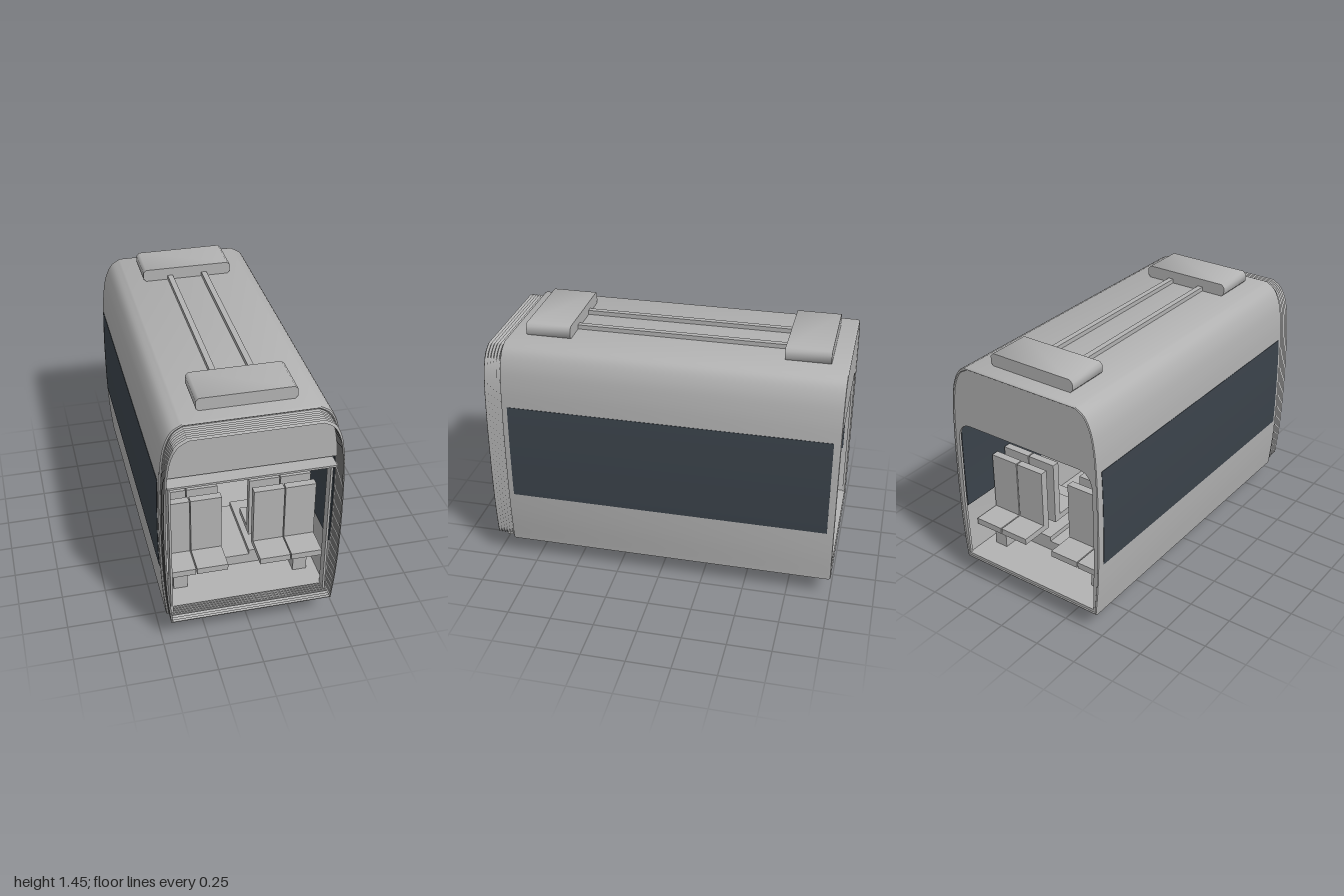
import * as THREE from 'three';
import { toCreasedNormals } from 'three/addons/utils/BufferGeometryUtils.js';

const grey = new THREE.MeshStandardMaterial({ color: 0xb2b2b2, side: THREE.DoubleSide });
grey.name = 'grey body';
const dark = new THREE.MeshStandardMaterial({ color: 0x3b434b, side: THREE.DoubleSide });
dark.name = 'dark glass';

// Right half of the cross-section, from sill to roof edge
const sideCurve = new THREE.CatmullRomCurve3([
  [0.462, 0.12], [0.479, 0.3], [0.488, 0.5], [0.49, 0.8], [0.484, 1.02],
  [0.474, 1.16], [0.452, 1.27], [0.415, 1.34], [0.36, 1.375],
].map(([x, y]) => new THREE.Vector3(x, y, 0)));
const side = sideCurve.getPoints(40);

// Closed cross-section scaled about the centre of the car
function section(kx = 1, ky = 1) {
  const pts = side.map((p) => new THREE.Vector2(p.x * kx, 0.7475 + (p.y - 0.7475) * ky));
  return pts.concat(pts.map((p) => new THREE.Vector2(-p.x, p.y)).reverse());
}

// Skin through cross-sections given as [x scale, y scale, z]
function loft(rings, crease) {
  const pos = [], idx = [], n = side.length * 2;
  rings.forEach(([kx, ky, z], i) => {
    for (const p of section(kx, ky)) pos.push(p.x, p.y, z);
    if (i === 0) return;
    for (let j = 0; j < n; j++) {
      const k = (j + 1) % n, a = (i - 1) * n, b = i * n;
      idx.push(a + j, b + k, a + k, a + j, b + j, b + k);
    }
  });
  const g = new THREE.BufferGeometry();
  g.setAttribute('position', new THREE.Float32BufferAttribute(pos, 3));
  g.setIndex(idx);
  return toCreasedNormals(g, crease);
}

function extrude(shape, z0, z1) {
  const g = new THREE.ExtrudeGeometry(shape, { depth: z1 - z0, bevelEnabled: false, curveSegments: 10 });
  g.translate(0, 0, z0);
  return toCreasedNormals(g, 1);
}

export function createModel() {
  const model = new THREE.Group();
  model.name = 'railCarSection';

  function add(name, geo, mat = grey, parent = model) {
    const m = new THREE.Mesh(geo, mat);
    m.name = name;
    parent.add(m);
  }
  // Box given by its limits
  function box(name, x0, x1, y0, y1, z0, z1, mat = grey, parent = model) {
    const g = new THREE.BoxGeometry(x1 - x0, y1 - y0, z1 - z0);
    g.translate((x0 + x1) / 2, (y0 + y1) / 2, (z0 + z1) / 2);
    add(name, g, mat, parent);
  }
  // Cylinder lying along x
  function roll(name, r, x0, x1, y, z, n = 24) {
    const g = new THREE.CylinderGeometry(r, r, x1 - x0, n);
    g.rotateZ(Math.PI / 2);
    g.rotateX(Math.PI / 2);
    g.translate((x0 + x1) / 2, y, z);
    add(name, toCreasedNormals(g, 1.1));
  }

  // Hollow body shell with softened ends, open front and back
  add('bodyShell', loft([
    [0.965, 0.972, -0.99], [0.965, 0.972, 0.89], [0.98, 0.985, 0.9], [0.994, 0.995, 0.897], [1, 1, 0.885],
    [1, 1, -0.985], [0.994, 0.995, -0.997], [0.98, 0.985, -1], [0.965, 0.972, -0.99],
  ], 0.9));

  // Rear wall with a round-cornered doorway
  const wall = new THREE.Shape(section(0.975, 0.98));
  const door = new THREE.Path();
  door.moveTo(-0.44, 0.15);
  door.lineTo(0.44, 0.15);
  door.lineTo(0.452, 0.5);
  door.lineTo(0.45, 0.92);
  door.quadraticCurveTo(0.44, 1.015, 0.36, 1.015);
  door.lineTo(-0.36, 1.015);
  door.quadraticCurveTo(-0.44, 1.015, -0.45, 0.92);
  door.lineTo(-0.452, 0.5);
  door.lineTo(-0.44, 0.15);
  wall.holes.push(door);
  add('rearWall', extrude(wall, -0.995, -0.98));

  // Front header above the ceiling
  const header = new THREE.Shape(section(0.97, 0.975).filter((p) => p.y > 1.015));
  add('frontHeader', extrude(header, 0.87, 0.888));

  // Window bands following the curve of each side, outside and inside
  const band = side.filter((p) => p.y > 0.46 && p.y < 1.01);
  const ys = [0.45, ...band.map((p) => p.y), 1.025];
  const xs = [0.486, ...band.map((p) => p.x), 0.4838];
  for (const s of [1, -1]) {
    for (const [name, a, b] of [['outerWindow', -0.002, 0.002], ['innerWindow', -0.022, -0.015]]) {
      const face = ys.map((y, i) => new THREE.Vector2(s * (xs[i] + b), y));
      const back = ys.map((y, i) => new THREE.Vector2(s * (xs[i] + a), y)).reverse();
      add(name, extrude(new THREE.Shape(face.concat(back)), -0.96, 0.865), dark);
    }
  }

  // Pleated gangway bellows
  const folds = 14;
  add('bellows', loft(Array.from({ length: folds + 1 }, (_, i) => {
    const k = i % 2 ? 0.982 : 0.962;
    return [k, k - 0.018, 0.88 + 0.12 * i / folds];
  }), 2));

  // Floor, ceiling and doorway posts
  box('floor', -0.45, 0.45, 0.132, 0.15, -0.98, 0.94);
  box('ceiling', -0.45, 0.45, 1.016, 1.028, -0.98, 0.95);
  for (const s of [1, -1]) box('doorPost', s * 0.434 - 0.006, s * 0.434 + 0.006, 0.15, 1.016, 0.86, 0.92);

  // Roof units and the pipes between them
  const unit = new THREE.Shape([
    [-0.267, 1.39], [-0.25, 1.372], [0.25, 1.372], [0.267, 1.39],
    [0.267, 1.43], [0.25, 1.447], [-0.25, 1.447], [-0.267, 1.43],
  ].map(([x, y]) => new THREE.Vector2(x, y)));
  add('frontRoofUnit', extrude(unit, 0.545, 0.8));
  add('rearRoofUnit', extrude(unit, -0.9, -0.65));
  for (const s of [1, -1]) box('roofPipe', s * 0.104 - 0.016, s * 0.104 + 0.016, 1.37, 1.4, -0.66, 0.56);

  // Back-to-back seat groups on pedestals
  for (const zc of [0.575, -0.675]) {
    for (const dir of [1, -1]) {
      const row = new THREE.Group();
      row.name = 'seatRow';
      row.position.z = zc;
      row.rotation.y = dir > 0 ? 0 : Math.PI;
      model.add(row);
      for (const x of [-0.362, -0.18, 0.18, 0.362]) {
        box('seatBack', x - 0.088, x + 0.088, 0.3, 0.685, 0.03, 0.075, grey, row);
        box('seatPan', x - 0.088, x + 0.088, 0.3, 0.337, 0.075, 0.235, grey, row);
      }
      for (const s of [1, -1]) box('seatPedestal', s * 0.348 - 0.04, s * 0.348 + 0.04, 0.15, 0.3, 0.06, 0.16, grey, row);
    }
  }

  // Dished wheel, turned about its axle
  const wheel = new THREE.LatheGeometry([
    [0, 0.293], [0.124, 0.293], [0.133, 0.302], [0.117, 0.315], [0.108, 0.335], [0.06, 0.342], [0, 0.335],
  ].map(([r, x]) => new THREE.Vector2(r, x)), 28);
  wheel.rotateZ(-Math.PI / 2);

  // Bogies: platforms, wheels, discs and axles
  for (const z of [0.32, -0.42]) {
    const zc = z + Math.sign(z) * 0.06;
    for (const s of [1, -1]) {
      box('wheelPlatform', s > 0 ? 0.08 : -0.45, s > 0 ? 0.45 : -0.08, 0.145, 0.238, zc - 0.23, zc + 0.23);
      const w = wheel.clone();
      if (s < 0) w.rotateY(Math.PI);
      w.translate(0, 0.133, z);
      add('wheel', toCreasedNormals(w, 1));
      roll('brakeDisc', 0.097, s * 0.197 - 0.009, s * 0.197 + 0.009, 0.147, z);
      box('axleBox', s * 0.36 - 0.025, s * 0.36 + 0.025, 0.097, 0.14, z - 0.05, z + 0.05);
    }
    box('middleStep', -0.08, 0.08, 0.145, 0.21, zc - 0.23, zc + 0.23);
    roll('axle', 0.016, -0.3, 0.3, 0.118, z, 12);
  }
  for (const z of [0.135, -0.235]) roll('tractionMotor', 0.054, -0.175, 0.125, 0.128, z, 6);

  // Hanging display and ceiling handrails
  box('displayCase', -0.13, 0.127, 0.893, 0.983, -0.08, -0.02);
  box('displayScreen', -0.115, 0.112, 0.9, 0.977, -0.02, -0.016, dark);
  box('rearDisplayScreen', -0.115, 0.112, 0.9, 0.977, -0.084, -0.08, dark);
  box('displayHanger', -0.006, 0.006, 0.98, 1.02, -0.056, -0.044);
  for (const s of [1, -1]) {
    const rail = new THREE.CylinderGeometry(0.006, 0.006, 1.2, 8);
    rail.rotateX(Math.PI / 2);
    rail.translate(s * 0.173, 0.84, -0.05);
    add('handrail', rail);
  }
  return model;
}
